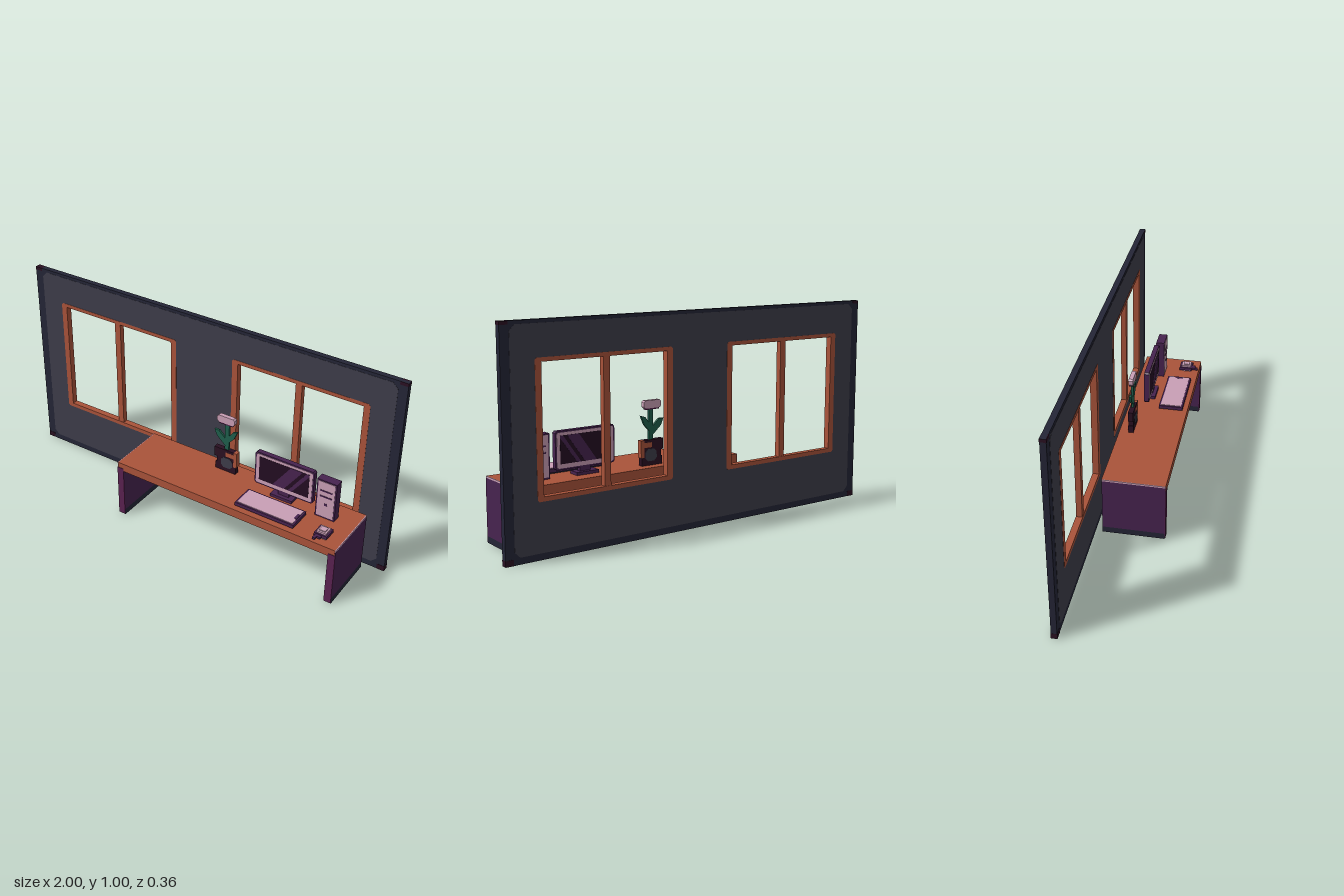
import * as THREE from 'three';

const mat = (name, color) => {
  const m = new THREE.MeshStandardMaterial({ color });
  m.name = name;
  return m;
};

export function createModel() {
  const wallGrey = mat('wallGrey', 0x3e3d4a);
  const navy = mat('navy', 0x242536);
  const maroon = mat('maroon', 0x2a1022);
  const orange = mat('orange', 0xa9533a);
  const pink = mat('pink', 0xc99fb5);
  const purple = mat('purple', 0x47234f);
  const plum = mat('plum', 0x5a2250);
  const green = mat('green', 0x1f5f4c);
  const screenDark = mat('screenDark', 0x230d22);

  const model = new THREE.Group();
  model.name = 'deskAndWindowWall';
  const group = (name) => {
    const g = new THREE.Group();
    g.name = name;
    model.add(g);
    return g;
  };
  // Box given by its limits on each axis
  const box = (parent, name, material, x0, x1, y0, y1, z0, z1) => {
    const m = new THREE.Mesh(new THREE.BoxGeometry(x1 - x0, y1 - y0, z1 - z0), material);
    m.position.set((x0 + x1) / 2, (y0 + y1) / 2, (z0 + z1) / 2);
    m.name = name;
    parent.add(m);
    return m;
  };
  // Flat outline pushed out along z
  const slab = (parent, name, material, shape, z0, z1) => {
    const g = new THREE.ExtrudeGeometry(shape, { depth: z1 - z0, bevelEnabled: false });
    g.translate(0, 0, z0);
    const m = new THREE.Mesh(g, material);
    m.name = name;
    parent.add(m);
    return m;
  };
  const poly = (pts) => new THREE.Shape(pts.map(([x, y]) => new THREE.Vector2(x, y)));
  const rect = (x0, x1, y0, y1) => poly([[x0, y0], [x1, y0], [x1, y1], [x0, y1]]);
  // Rectangle with cut corners
  const cutRect = (x0, x1, y0, y1, c) => poly([
    [x0 + c, y0], [x1 - c, y0], [x1, y0 + c], [x1, y1 - c],
    [x1 - c, y1], [x0 + c, y1], [x0, y1 - c], [x0, y0 + c],
  ]);
  const addHoles = (shape, inset) => {
    for (const cx of [-0.5, 0.5]) {
      shape.holes.push(rect(cx - 0.345 + inset, cx + 0.345 - inset, 0.25 + inset, 0.85 - inset));
    }
    return shape;
  };

  // Wall with dark edging and a lighter panel on both faces
  const wall = group('wall');
  const H = 1.005;
  slab(wall, 'wallCore', navy, addHoles(rect(-1, 1, 0, H), 0.006), -0.179, -0.152);
  for (const [z0, z1, name] of [[-0.1525, -0.151, 'frontPanel'], [-0.18, -0.1785, 'backPanel']]) {
    slab(wall, name, wallGrey, addHoles(cutRect(-0.957, 0.957, 0.03, 0.99, 0.025), 0.004), z0, z1);
  }
  for (const s of [-1, 1]) {
    const x0 = s < 0 ? -1.0005 : 0.962, x1 = s < 0 ? -0.962 : 1.0005;
    box(wall, 'bottomCorner', maroon, x0, x1, 0, 0.027, -0.18, -0.151);
    box(wall, 'topCorner', maroon, x0, x1, 0.99, H, -0.18, -0.151);
  }

  // Window frames with a centre post
  for (const cx of [-0.5, 0.5]) {
    const w = group(cx < 0 ? 'rightWindow' : 'leftWindow');
    const frame = cutRect(cx - 0.345, cx + 0.345, 0.25, 0.85, 0.008);
    frame.holes.push(rect(cx - 0.315, cx + 0.315, 0.27, 0.832));
    slab(w, 'windowFrame', orange, frame, -0.181, -0.15);
    box(w, 'windowPost', orange, cx - 0.016, cx + 0.016, 0.268, 0.834, -0.179, -0.152);
  }

  // Desk
  const desk = group('desk');
  box(desk, 'deskTop', orange, -0.266, 0.896, 0.26, 0.302, -0.12, 0.18);
  for (const [x0, x1, side] of [[-0.27, -0.235, -1], [0.865, 0.9, 1]]) {
    box(desk, 'legPanel', purple, x0, x1, 0.03, 0.262, -0.119, 0.178);
    box(desk, 'legFoot', navy, x0, x1, 0, 0.03, -0.119, 0.178);
    const ox = side < 0 ? -0.27 : 0.896;
    box(desk, 'deskEnd', purple, ox, ox + 0.004, 0.26, 0.294, -0.119, 0.179);
    box(desk, 'deskEndTrim', pink, ox, ox + 0.004, 0.294, 0.302, -0.119, 0.179);
    box(desk, 'legFrontEdge', plum, x0, x1, 0.004, 0.275, 0.177, 0.182);
  }

  // Potted flower, flat like a cut-out
  const plant = group('plant');
  box(plant, 'potBase', maroon, 0.14, 0.25, 0.302, 0.34, -0.075, -0.05);
  box(plant, 'potBody', maroon, 0.146, 0.24, 0.34, 0.37, -0.075, -0.05);
  box(plant, 'potRim', maroon, 0.132, 0.24, 0.37, 0.42, -0.075, -0.05);
  box(plant, 'potRightEdge', orange, 0.238, 0.255, 0.34, 0.42, -0.076, -0.049);
  box(plant, 'potStripe', orange, 0.195, 0.24, 0.385, 0.408, -0.076, -0.049);
  slab(plant, 'potShade', wallGrey, cutRect(0.17, 0.232, 0.322, 0.378, 0.014), -0.077, -0.048);
  box(plant, 'stem', green, 0.184, 0.206, 0.42, 0.563, -0.068, -0.057);
  slab(plant, 'rightLeaf', green,
    poly([[0.19, 0.435], [0.19, 0.475], [0.15, 0.512], [0.126, 0.512], [0.14, 0.48]]), -0.068, -0.057);
  slab(plant, 'leftLeaf', green,
    poly([[0.2, 0.455], [0.232, 0.49], [0.25, 0.533], [0.225, 0.525], [0.2, 0.49]]), -0.068, -0.057);
  box(plant, 'flowerUnder', plum, 0.152, 0.226, 0.558, 0.567, -0.072, -0.053);
  slab(plant, 'flower', pink, cutRect(0.142, 0.236, 0.564, 0.6, 0.008), -0.073, -0.052);

  // Monitor with the same face front and back
  const monitor = group('monitor');
  slab(monitor, 'monitorCase', purple, cutRect(0.375, 0.677, 0.334, 0.506, 0.008), -0.04, -0.016);
  for (const [f, z] of [[1, -0.016], [-1, -0.04]]) {
    // Thin plate on the face, starting a and ending b out from the case
    const plate = (name, m, shape, a, b) =>
      slab(monitor, name, m, shape, Math.min(z + f * a, z + f * b), Math.max(z + f * a, z + f * b));
    plate('bezel', pink, cutRect(0.382, 0.67, 0.341, 0.499, 0.006), -0.001, 0.0015);
    plate('screen', screenDark, rect(0.398, 0.654, 0.36, 0.486), 0, 0.0025);
    plate('screenShine', purple, poly([[0.47, 0.36], [0.53, 0.36], [0.62, 0.486], [0.56, 0.486]]), 0.001, 0.0033);
    plate('screenShine', purple, poly([[0.55, 0.36], [0.57, 0.36], [0.654, 0.475], [0.654, 0.486], [0.64, 0.486]]), 0.001, 0.0033);
  }
  box(monitor, 'monitorNeck', purple, 0.5, 0.555, 0.31, 0.336, -0.038, -0.018);
  box(monitor, 'monitorFoot', purple, 0.468, 0.58, 0.302, 0.316, -0.056, 0);

  // Computer tower
  const tower = group('computerTower');
  box(tower, 'towerCase', purple, 0.703, 0.8, 0.302, 0.502, -0.036, 0.006);
  for (const [z0, z1, d0, d1] of [[0.005, 0.008, 0.006, 0.0095], [-0.038, -0.035, -0.0395, -0.036]]) {
    box(tower, 'towerFace', pink, 0.71, 0.793, 0.31, 0.496, z0, z1);
    for (const y of [0.415, 0.445]) box(tower, 'driveSlot', purple, 0.722, 0.782, y, y + 0.007, d0, d1);
    box(tower, 'powerButton', purple, 0.746, 0.76, 0.372, 0.384, d0, d1);
  }

  // Keyboard
  const keyboard = group('keyboard');
  box(keyboard, 'keyboardCase', purple, 0.375, 0.676, 0.308, 0.325, 0.036, 0.156);
  box(keyboard, 'keyboardKeys', pink, 0.384, 0.667, 0.32, 0.3275, 0.044, 0.148);
  box(keyboard, 'keyboardUnderside', navy, 0.385, 0.666, 0.302, 0.309, 0.044, 0.148);
  box(keyboard, 'keyboardNotch', purple, 0.655, 0.668, 0.322, 0.3285, 0.075, 0.112);

  // Mouse
  const mouse = group('mouse');
  box(mouse, 'mouseBase', pink, 0.782, 0.828, 0.302, 0.312, 0.092, 0.138);
  box(mouse, 'mouseBody', purple, 0.773, 0.836, 0.311, 0.326, 0.08, 0.145);
  box(mouse, 'mouseTop', pink, 0.782, 0.828, 0.325, 0.335, 0.09, 0.138);
  box(mouse, 'mouseHump', pink, 0.79, 0.82, 0.334, 0.34, 0.1, 0.13);
  box(mouse, 'mouseCord', purple, 0.782, 0.812, 0.313, 0.323, 0.144, 0.16);
  box(mouse, 'mouseCordEnd', purple, 0.78, 0.794, 0.313, 0.323, 0.158, 0.175);

  return model;
}
